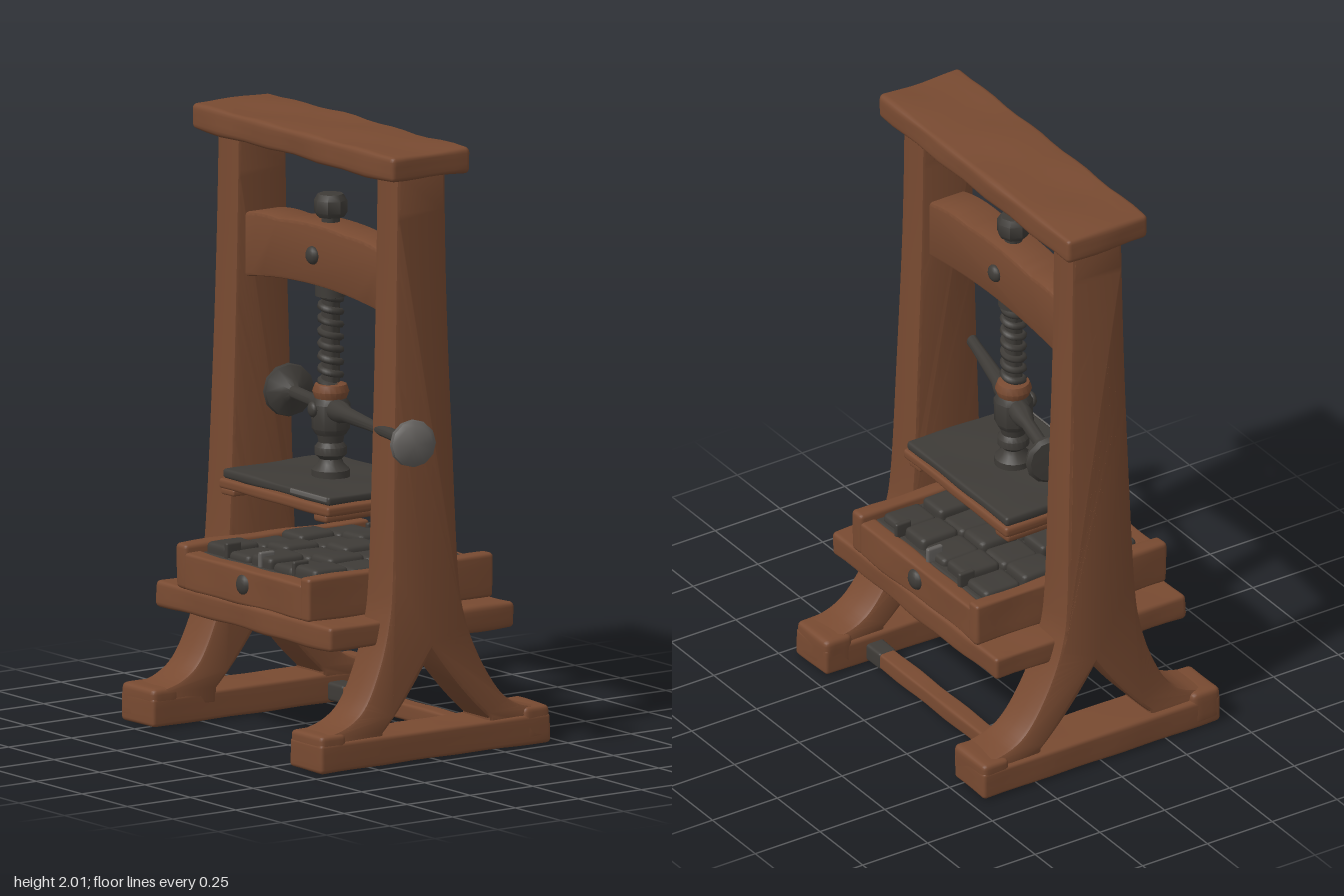
import * as THREE from 'three';
import { mergeVertices, toCreasedNormals } from 'three/addons/utils/BufferGeometryUtils.js';

const wood = new THREE.MeshStandardMaterial({ name: 'wood', color: 0x784a31 });
const iron = new THREE.MeshStandardMaterial({ name: 'dark iron', color: 0x3e3b37 });
const steel = new THREE.MeshStandardMaterial({ name: 'worn steel', color: 0x63605d });

const CX = -0.085, CZ = 0.02; // screw axis

// gentle hand-hewn waviness, fixed in space
const wave = (a, b, s) => Math.sin(a * 9 + s) * Math.cos(b * 13 + s * 2.3) + 0.5 * Math.sin(a * 23 + b * 17 + s * 1.7);

function add(parent, name, geometry, material, x = 0, y = 0, z = 0) {
  const m = new THREE.Mesh(geometry, material);
  m.name = name;
  m.position.set(x, y, z);
  parent.add(m);
  return m;
}

// rounded, slightly uneven block given by its min and max on each axis
function block(parent, name, material, [x0, x1], [y0, y1], [z0, z1], r = 0.015, rough = 0.004) {
  const size = [x1 - x0, y1 - y0, z1 - z0];
  const mid = [(x0 + x1) / 2, (y0 + y1) / 2, (z0 + z1) / 2];
  r = Math.min(r, Math.min(...size) * 0.45);
  const n = size.map(s => Math.min(20, 6 + Math.round(s * 14)));
  const g = new THREE.BoxGeometry(...size, ...n);
  g.deleteAttribute('uv');
  g.deleteAttribute('normal');
  const p = g.attributes.position;
  for (let i = 0; i < p.count; i++) {
    const inner = [], d = [];
    [p.getX(i), p.getY(i), p.getZ(i)].forEach((v, k) => {
      const h = size[k] / 2, j = Math.round((v / size[k] + 0.5) * n[k]);
      // two rows of vertices form each rounded edge
      const c = j < 2 ? -h + r * j / 2 : j > n[k] - 2 ? h - r * (n[k] - j) / 2
        : -h + r + (size[k] - 2 * r) * (j - 2) / (n[k] - 4);
      inner[k] = Math.max(-h + r, Math.min(h - r, c));
      d[k] = c - inner[k];
    });
    const len = Math.hypot(...d) || 1;
    const [wx, wy, wz] = inner.map((v, k) => v + mid[k]);
    const push = r + rough * (wave(wx + wz, wy - wz, mid[1] * 7) - 0.6);
    p.setXYZ(i, ...inner.map((v, k) => v + d[k] / len * push));
  }
  const m = mergeVertices(g, 1e-5);
  m.computeVertexNormals();
  return add(parent, name, m, material, ...mid);
}

function lathe(parent, name, material, profile, sides = 20) {
  const g = new THREE.LatheGeometry(profile.map(q => new THREE.Vector2(...q)), sides);
  return add(parent, name, toCreasedNormals(g, 0.7), material);
}

// upright that splits into two curved legs, widening downwards
function upright(parent, side) {
  const s = new THREE.Shape();
  s.moveTo(0.074, 1.93);
  s.lineTo(-0.117, 1.93);
  s.splineThru([[-0.125, 1.5], [-0.139, 1.0], [-0.154, 0.6], [-0.172, 0.45], [-0.21, 0.32],
    [-0.27, 0.2], [-0.34, 0.145], [-0.43, 0.12]].map(q => new THREE.Vector2(...q)));
  s.lineTo(-0.43, 0.05);
  s.lineTo(-0.2, 0.05);
  s.lineTo(-0.2, 0.105);
  s.quadraticCurveTo(-0.1, 0.2, 0, 0.355);
  s.quadraticCurveTo(0.11, 0.2, 0.22, 0.105);
  s.lineTo(0.22, 0.05);
  s.lineTo(0.43, 0.05);
  s.lineTo(0.43, 0.12);
  s.splineThru([[0.33, 0.145], [0.26, 0.2], [0.185, 0.32], [0.135, 0.45], [0.112, 0.6],
    [0.097, 1.0], [0.08, 1.5], [0.074, 1.93]].map(q => new THREE.Vector2(...q)));
  const b = 0.012;
  const g = new THREE.ExtrudeGeometry(s, { depth: 0.12 - 2 * b, steps: 2, curveSegments: 18,
    bevelSize: b, bevelThickness: b, bevelOffset: -b, bevelSegments: 2 });
  g.translate(0, 0, b);
  g.rotateY(Math.PI / 2);
  const p = g.attributes.position;
  for (let i = 0; i < p.count; i++) {
    const y = p.getY(i), t = p.getX(i) / 0.12;
    const width = 0.118 + 0.045 * Math.pow(1 - Math.min(1, y / 1.9), 1.7);
    p.setX(i, side > 0 ? 0.3 + t * width : -0.457 - (1 - t) * width);
  }
  g.deleteAttribute('uv');
  add(parent, side > 0 ? 'leftUpright' : 'rightUpright', toCreasedNormals(g, 0.6), wood);
}

class Helix extends THREE.Curve {
  getPoint(t, out = new THREE.Vector3()) {
    const a = t * Math.PI * 2 * 7.5;
    return out.set(0.032 * Math.cos(a), 1.14 + 0.31 * t, 0.032 * Math.sin(a));
  }
}

export function createModel() {
  const model = new THREE.Group();
  model.name = 'screwPress';

  // frame
  const frame = new THREE.Group();
  frame.name = 'frame';
  model.add(frame);
  block(frame, 'topBeam', wood, [-0.642, 0.478], [1.906, 2.0], [-0.138, 0.182], 0.022, 0.005);
  for (const side of [1, -1]) {
    upright(frame, side);
    const x = side > 0 ? [0.287, 0.47] : [-0.637, -0.455];
    block(frame, 'foot', wood, x, [0, 0.1], [-0.458, 0.458], 0.015, 0.002);
    for (const z of [[-0.458, -0.35], [0.35, 0.458]])
      block(frame, 'footEnd', wood, x, [0.01, 0.128], z, 0.02, 0.003);
  }
  block(frame, 'stretcher', wood, [-0.46, 0.3], [0.012, 0.072], [-0.3, -0.235], 0.012, 0.003);
  for (const x of [[-0.46, -0.37], [0.21, 0.3]])
    block(frame, 'stretcherSleeve', iron, x, [0.01, 0.074], [-0.302, -0.233], 0.012, 0.002);

  // arched beam that carries the screw
  const arch = new THREE.Shape();
  arch.moveTo(-0.4, 1.44);
  arch.quadraticCurveTo(0, 1.51, 0.4, 1.44);
  arch.lineTo(0.4, 1.64);
  arch.quadraticCurveTo(0.3, 1.675, 0.17, 1.67);
  arch.quadraticCurveTo(0, 1.69, -0.2, 1.665);
  arch.quadraticCurveTo(-0.3, 1.675, -0.4, 1.65);
  arch.closePath();
  const archGeo = new THREE.ExtrudeGeometry(arch, { depth: 0.116, curveSegments: 14,
    bevelSize: 0.012, bevelThickness: 0.012, bevelOffset: -0.012, bevelSegments: 2 });
  archGeo.deleteAttribute('uv');
  add(frame, 'archedBeam', toCreasedNormals(archGeo, 0.6), wood, CX, 0, CZ - 0.058);

  // bolts on the beam and the tray
  const boltGeo = new THREE.SphereGeometry(1, 14, 10);
  for (const [y, z, r] of [[1.575, 0.092, 0.03], [1.575, -0.052, 0.03], [0.525, 0.362, 0.036], [0.525, -0.355, 0.036]])
    add(frame, 'bolt', boltGeo, iron, CX, y, z).scale.set(r, r, r * 0.65);

  // screw
  const screw = new THREE.Group();
  screw.name = 'screw';
  screw.position.set(CX, 0, CZ);
  model.add(screw);
  lathe(screw, 'topNut', iron, [[0, 1.69], [0.044, 1.695], [0.054, 1.71], [0.054, 1.75], [0.042, 1.77], [0, 1.772]], 8);
  lathe(screw, 'screwCore', iron, [[0.03, 1.1], [0.03, 1.43], [0.05, 1.435], [0.05, 1.48], [0.03, 1.49], [0.03, 1.7]]);
  add(screw, 'screwThread', new THREE.TubeGeometry(new Helix(), 200, 0.0125, 6), iron);
  lathe(screw, 'ring', wood, [[0.03, 1.095], [0.052, 1.1], [0.06, 1.122], [0.052, 1.145], [0.03, 1.152]]);
  lathe(screw, 'hub', iron, [[0, 0.975], [0.05, 0.98], [0.062, 1.0], [0.064, 1.08], [0.05, 1.103], [0, 1.105]], 10);
  lathe(screw, 'spindle', iron, [[0.062, 0.84], [0.062, 0.865], [0.042, 0.885], [0.036, 0.9], [0.052, 0.915],
    [0.052, 0.94], [0.04, 0.955], [0.045, 0.98]]);
  lathe(screw, 'bottomNut', iron, [[0, 0.702], [0.038, 0.704], [0.052, 0.72], [0.052, 0.78], [0, 0.785]], 10);

  // crossways handle, its axis turned slightly towards the front
  const handle = new THREE.Group();
  handle.name = 'handle';
  handle.position.set(CX, 1.065, CZ);
  handle.rotation.set(0, -0.238, 0.022);
  model.add(handle);
  const alongX = m => { m.rotation.z = -Math.PI / 2; return m; };
  alongX(lathe(handle, 'handleBar', iron, [[0.022, -0.35], [0.022, -0.14], [0.036, -0.09], [0.036, 0.09], [0.026, 0.14],
    [0.019, 0.35], [0.021, 0.66]], 14));
  alongX(lathe(handle, 'longEndKnob', steel, [[0.02, 0.635], [0.035, 0.66], [0.07, 0.68], [0.078, 0.695], [0.076, 0.712],
    [0.06, 0.726], [0, 0.73]], 12));
  alongX(lathe(handle, 'shortEndKnob', iron, [[0, -0.378], [0.075, -0.374], [0.088, -0.362], [0.085, -0.347],
    [0.04, -0.325], [0.02, -0.305]], 12));
  add(handle, 'handlePin', boltGeo, iron, 0, 0, 0.062).scale.set(0.026, 0.026, 0.016);

  // platen
  const platen = new THREE.Group();
  platen.name = 'platen';
  model.add(platen);
  block(platen, 'platenBoard', wood, [-0.388, 0.22], [0.778, 0.815], [-0.208, 0.252], 0.012, 0.002);
  block(platen, 'platenPlate', iron, [-0.378, 0.21], [0.812, 0.846], [-0.2, 0.242], 0.012, 0.003);
  for (const x of [[-0.385, -0.31], [0.13, 0.2]])
    block(platen, 'platenCleat', wood, x, [0.757, 0.785], [-0.2, 0.245], 0.01, 0.002);
  block(platen, 'wornEdge', steel, [0.0, 0.2], [0.826, 0.842], [0.236, 0.245], 0.004, 0);

  // bed and type tray
  const tray = new THREE.Group();
  tray.name = 'tray';
  model.add(tray);
  block(tray, 'bed', wood, [-0.565, 0.402], [0.376, 0.465], [-0.365, 0.375], 0.018, 0.004);
  for (const z of [[-0.363, -0.3], [0.305, 0.373]])
    block(tray, 'trayWall', wood, [-0.41, 0.24], [0.455, 0.58], z, 0.014, 0.004);
  for (const x of [[-0.453, -0.392], [0.225, 0.285]])
    block(tray, 'traySide', wood, x, [0.455, 0.606], [-0.365, 0.375], 0.016, 0.004);
  block(tray, 'trayFloor', iron, [-0.4, 0.235], [0.455, 0.575], [-0.305, 0.31], 0.01, 0);

  // rows of type blocks, alternating in height
  for (let i = 0; i < 5; i++)
    for (let j = 0; j < 4; j++) {
      const x = -0.391 + i * 0.1225, z = -0.29 + j * 0.149;
      const top = 0.602 + ((i + j) % 2) * 0.012;
      block(tray, 'typeBlock', iron, [x, x + 0.119], [0.55, top], [z, z + 0.145], 0.02, 0.003);
    }
  for (const z of [-0.285, 0.275])
    for (const x of [-0.27, CX, 0.1])
      block(tray, 'trayClip', x === CX ? steel : iron, [x - 0.009, x + 0.009], [0.57, 0.624], [z - 0.03, z + 0.03], 0.007, 0);
  return model;
}
